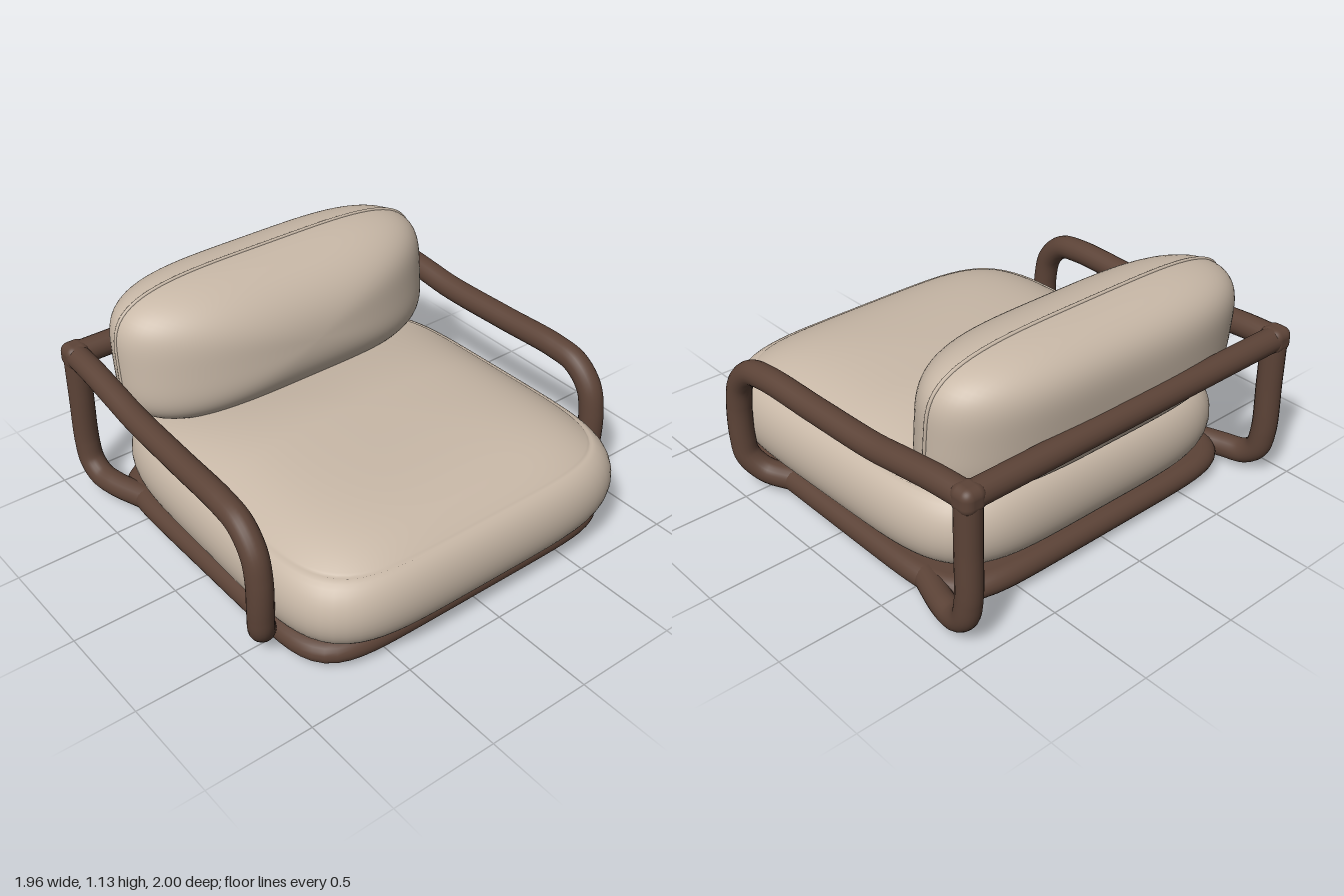
import * as THREE from 'three';
import { RoundedBoxGeometry } from 'three/addons/geometries/RoundedBoxGeometry.js';

const SEG = 128;
const TUBE = 0.058;

// Closed skin over rings; point(theta, ring) gives [x, y, z]
function loft(rings, point) {
  const pos = [], idx = [];
  rings.forEach((ring, i) => {
    for (let j = 0; j < SEG; j++) {
      pos.push(...point((j / SEG) * Math.PI * 2, ring));
      if (i === rings.length - 1) continue;
      const a = i * SEG + j, c = i * SEG + ((j + 1) % SEG);
      idx.push(a, a + SEG, c, c, a + SEG, c + SEG);
    }
  });
  const g = new THREE.BufferGeometry();
  g.setAttribute('position', new THREE.Float32BufferAttribute(pos, 3));
  g.setIndex(idx);
  g.computeVertexNormals();
  return g;
}

// Unit rounded-square outline at an angle
function outline(theta, n) {
  const c = Math.cos(theta), s = Math.sin(theta);
  const r = Math.pow(Math.abs(c) ** n + Math.abs(s) ** n, -1 / n);
  return [c * r, s * r];
}

function tube(points, segments = 80) {
  const curve = new THREE.CatmullRomCurve3(points.map(p => new THREE.Vector3(...p)));
  return new THREE.TubeGeometry(curve, segments, TUBE, 20);
}

// Base: flat slab with a fully rounded edge
function baseGeometry() {
  const rings = [{ k: 0, y: 0.02 }, { k: 0.6, y: 0.02 }];
  for (let i = 0; i <= 12; i++) {
    const a = -Math.PI / 2 + (i / 12) * Math.PI;
    rings.push({ inset: 0.057 * (1 - Math.cos(a)), y: 0.077 + 0.057 * Math.sin(a) });
  }
  rings.push({ k: 0.6, y: 0.134 }, { k: 0, y: 0.134 });
  return loft(rings, (t, { k = 1, inset = 0, y }) => {
    const [u, v] = outline(t, 7);
    return [0.03 + u * (0.85 - inset) * k, y, v * (0.87 - inset) * k];
  });
}

// Seat: bulging side wall, seam groove, domed top
function seatGeometry() {
  const rings = [{ k: 0, y: 0.125 }, { k: 0.8, inset: 0.12, y: 0.125 }];
  for (let i = 0; i <= 18; i++) {
    const a = -Math.PI / 2 + (i / 18) * Math.PI * 0.9;
    rings.push({ inset: 0.115 * (1 - Math.cos(a)), y: 0.305 + 0.178 * Math.sin(a) });
  }
  rings.push({ inset: 0.087, y: 0.47 });
  for (let i = 0; i <= 24; i++) {
    const s = 1 - (i / 24) ** 1.5;
    const dome = 0.7 * (1 - s ** 6) + 0.3 * (1 - s * s);
    rings.push({ k: s, inset: 0.094, y: 0.478, rise: 0.125 * dome });
  }
  return loft(rings, (t, { k = 1, inset = 0, y, rise = 0 }) => {
    const [u, v] = outline(t, 5);
    const x = 0.08 + u * (0.9 - inset) * k;
    const z = v * (0.89 - inset) * k * (1 + 0.025 * u * k);
    const fall = THREE.MathUtils.smoothstep(x, -0.95, 0.05);
    return [x, y + rise * fall, z];
  });
}

// Back cushion: two domed halves meeting at an upright seam
const seamX = y => -0.61 - (y - 0.785) * 0.09;
function backPoint(t, s, depth) {
  const [u, v] = outline(t, 4);
  const y = 0.785 + 0.335 * v * s;
  return [seamX(y) + depth, y, 0.84 * u * s];
}
function backGeometry() {
  const rings = [], N = 24;
  for (let i = 0; i <= N; i++) {
    const s = Math.sin((i / N) * Math.PI / 2);
    rings.push({ s, d: -0.3 * Math.sqrt(Math.max(0, 1 - s ** 3.6)) });
  }
  for (let i = N - 1; i >= 0; i--) {
    const s = Math.sin((i / N) * Math.PI / 2);
    rings.push({ s, d: 0.355 * Math.sqrt(1 - s ** 2.3) });
  }
  return loft(rings, (t, { s, d }) => backPoint(t, s, d));
}
function backSeamGeometry() {
  const pts = [];
  for (let i = 0; i < 64; i++) {
    pts.push(new THREE.Vector3(...backPoint((i / 64) * Math.PI * 2, 0.998, 0)));
  }
  return new THREE.TubeGeometry(new THREE.CatmullRomCurve3(pts, true), 160, 0.009, 8, true);
}

export function createModel() {
  const wood = new THREE.MeshStandardMaterial({ color: 0x5c4337 });
  wood.name = 'brown wood';
  const fabric = new THREE.MeshStandardMaterial({ color: 0xc8b8a7 });
  fabric.name = 'beige fabric';
  const pad = new THREE.MeshStandardMaterial({ color: 0xa89d91 });
  pad.name = 'grey foot pad';

  const model = new THREE.Group();
  model.name = 'lounge chair';
  const add = (name, geometry, material, position = [0, 0, 0]) => {
    const mesh = new THREE.Mesh(geometry, material);
    mesh.name = name;
    mesh.position.set(...position);
    model.add(mesh);
    return mesh;
  };

  add('base', baseGeometry(), wood);
  add('seatCushion', seatGeometry(), fabric);
  add('backCushion', backGeometry(), fabric);
  add('backCushionSeam', backSeamGeometry(), fabric);

  // Side frames, splaying outward toward the front
  const armPath = [
    [-0.92, 0.722], [-0.75, 0.715], [-0.55, 0.695], [-0.38, 0.677], [0, 0.673], [0.33, 0.673],
    [0.46, 0.648], [0.55, 0.56], [0.58, 0.44], [0.58, 0.26],
  ];
  for (const [side, m] of [['left', 1], ['right', -1]]) {
    const arm = armPath.map(([x, y]) => [x, y, m * (0.89 + 0.033 * (x + 0.92))]);
    arm.push([0.565, 0.17, m * 0.93], [0.5, 0.095, m * 0.88], [0.36, 0.078, m * 0.8]);
    add(side + 'Arm', tube(arm, 120), wood);
    add(side + 'BackPost', tube([
      [-0.92, 0.722, m * 0.89], [-0.92, 0.5, m * 0.89], [-0.92, 0.24, m * 0.89],
      [-0.895, 0.14, m * 0.888], [-0.83, 0.088, m * 0.88], [-0.73, 0.077, m * 0.86],
      [-0.55, 0.077, m * 0.8],
    ]), wood);
    add(side + 'BackCorner', new RoundedBoxGeometry(0.118, 0.118, 0.118, 5, 0.042), wood,
      [-0.92, 0.722, m * 0.89]);
    // Foot pads
    for (const [end, x] of [['Front', 0.6], ['Back', -0.54]]) {
      add(side + end + 'Foot', new THREE.CylinderGeometry(0.11, 0.1, 0.025, 24), pad,
        [x, 0.0125, m * 0.68]);
    }
  }

  // Rail joining the two frames behind the cushion
  add('backRail', tube([[-0.92, 0.722, -0.89], [-0.92, 0.722, 0.89]], 8), wood);

  return model;
}
